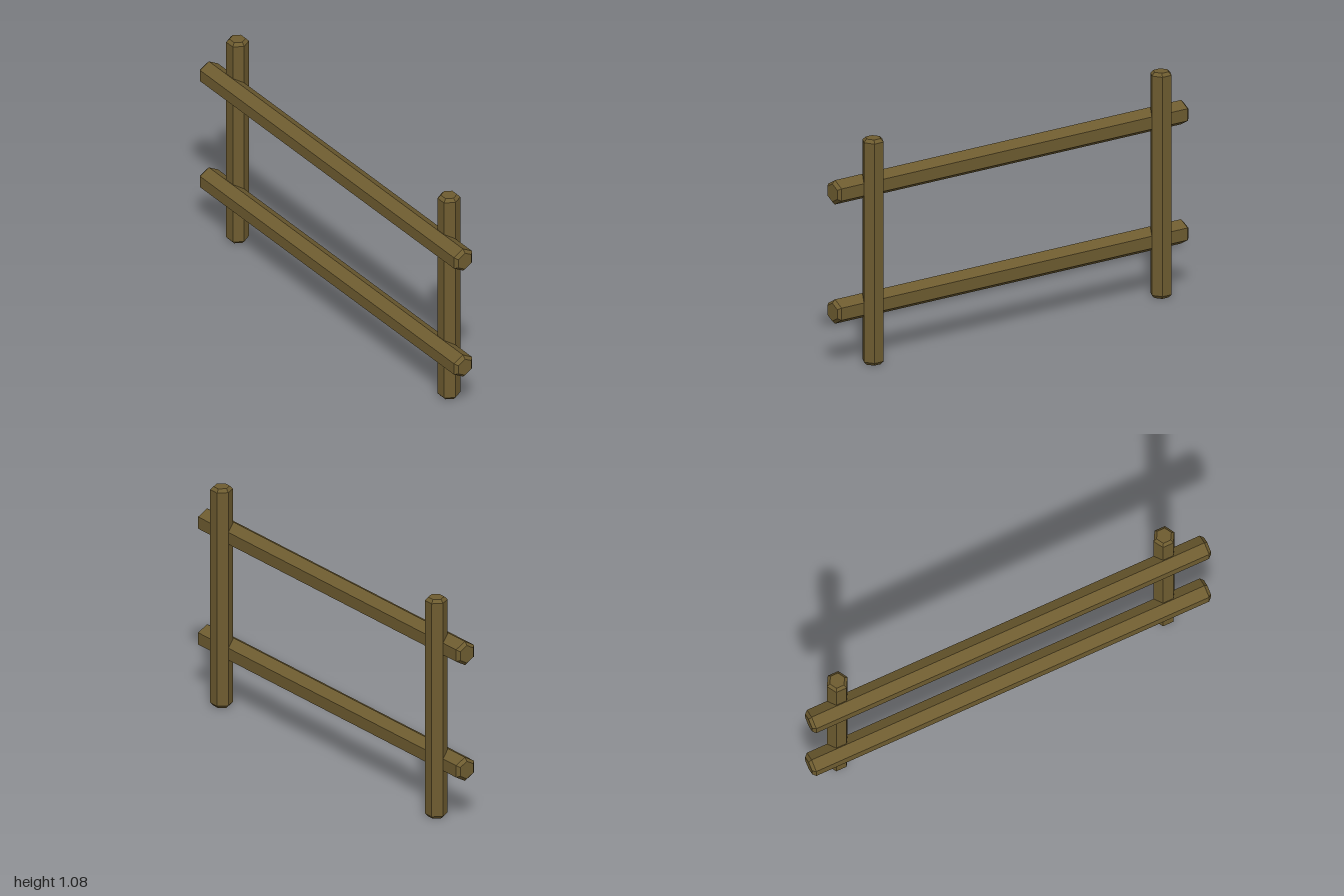
import * as THREE from 'three';

// Six-sided log along y, centred, with chamfered ends; corners point to +x and -x
function logGeometry(radius, length, bevel) {
  const h = length / 2;
  const profile = [
    [0, -h], [radius - bevel, -h], [radius, -h + bevel],
    [radius, h - bevel], [radius - bevel, h], [0, h],
  ].map(([r, y]) => new THREE.Vector2(r, y));
  const geometry = new THREE.LatheGeometry(profile, 6, Math.PI / 6).toNonIndexed();
  geometry.computeVertexNormals(); // flat facets
  return geometry;
}

export function createModel() {
  const group = new THREE.Group();
  group.name = 'fence';
  const wood = new THREE.MeshStandardMaterial({ color: 0x6e5c30 });
  wood.name = 'brown wood';

  // Upright posts at the back
  const postHeight = 1.075;
  const postGeometry = logGeometry(0.052, postHeight, 0.015);
  for (const [name, x] of [['rightPost', -0.833], ['leftPost', 0.806]]) {
    const post = new THREE.Mesh(postGeometry, wood);
    post.name = name;
    post.position.set(x, postHeight / 2, -0.026);
    group.add(post);
  }

  // Horizontal rails across the front
  const railGeometry = logGeometry(0.058, 2, 0.015).rotateZ(Math.PI / 2);
  for (const [name, y] of [['lowerRail', 0.268], ['upperRail', 0.836]]) {
    const rail = new THREE.Mesh(railGeometry, wood);
    rail.name = name;
    rail.position.set(0, y, 0.024);
    group.add(rail);
  }
  return group;
}
